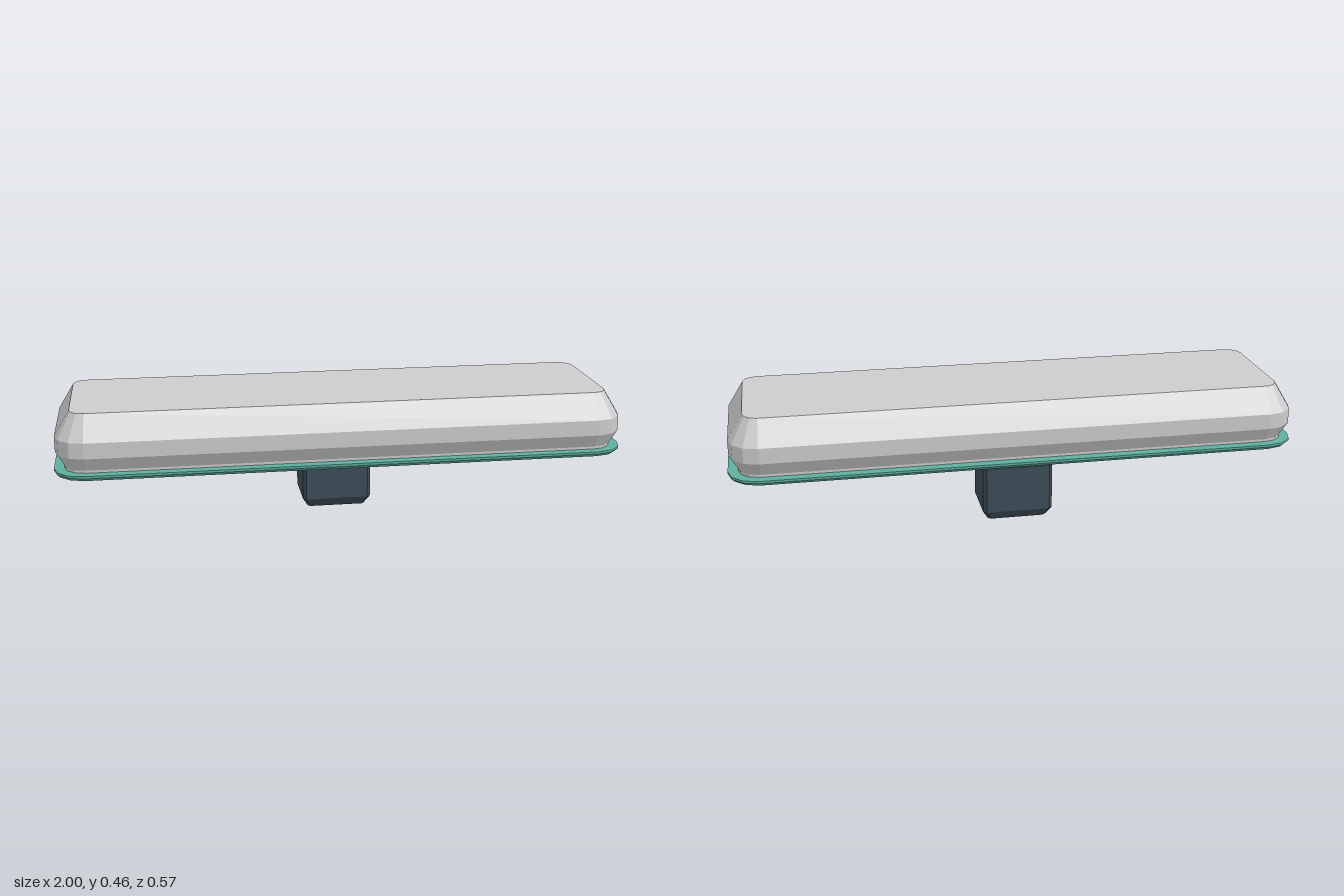
import * as THREE from 'three';

const shell = new THREE.MeshStandardMaterial({ color: 0xcccccc });
shell.name = 'light grey shell';
const teal = new THREE.MeshStandardMaterial({ color: 0x5fae9f });
teal.name = 'teal rim';
const under = new THREE.MeshStandardMaterial({ color: 0x59606c });
under.name = 'slate underside';
const dark = new THREE.MeshStandardMaterial({ color: 0x3d4c57 });
dark.name = 'dark stem';

// Rounded rectangle outline, running from +x towards +z
function outline(hx, hz, r, n) {
  const pts = [];
  const corners = [[1, 1], [-1, 1], [-1, -1], [1, -1]];
  corners.forEach(([sx, sz], q) => {
    for (let i = 0; i <= n; i++) {
      const a = (q + i / n) * Math.PI / 2;
      pts.push([sx * (hx - r) + r * Math.cos(a), sz * (hz - r) + r * Math.sin(a)]);
    }
  });
  return pts;
}

// Faceted loft through rings [y, halfX, halfZ, radius], bottom to top.
// Group 0 holds walls and top, group 1 the bottom cap.
function loft(rings, n) {
  const pos = [];
  const loops = rings.map(([y, hx, hz, r]) => outline(hx, hz, r, n).map(([x, z]) => [x, y, z]));
  const m = loops[0].length;
  const tri = (a, b, c) => pos.push(...a, ...b, ...c);
  for (let k = 0; k < loops.length - 1; k++) {
    for (let i = 0; i < m; i++) {
      const j = (i + 1) % m, lo = loops[k], hi = loops[k + 1];
      tri(lo[i], hi[i], hi[j]);
      tri(lo[i], hi[j], lo[j]);
    }
  }
  const top = loops[loops.length - 1], bottom = loops[0];
  for (let i = 1; i < m - 1; i++) tri(top[0], top[i + 1], top[i]);
  const wallCount = pos.length / 3;
  for (let i = 1; i < m - 1; i++) tri(bottom[0], bottom[i], bottom[i + 1]);
  const geo = new THREE.BufferGeometry();
  geo.setAttribute('position', new THREE.Float32BufferAttribute(pos, 3));
  geo.addGroup(0, wallCount, 0);
  geo.addGroup(wallCount, pos.length / 3 - wallCount, 1);
  geo.computeVertexNormals();
  return geo;
}

export function createModel() {
  const group = new THREE.Group();
  const add = (name, geo, mats) => {
    const mesh = new THREE.Mesh(geo, mats);
    mesh.name = name;
    group.add(mesh);
    return mesh;
  };

  // Bevelled housing: each ring is inset evenly from the widest outline
  const housing = [[0.25, 0.028], [0.268, 0.028], [0.317, 0], [0.372, 0], [0.46, 0.054]]
    .map(([y, d]) => [y, 0.993 - d, 0.278 - d, 0.1 - d * 0.9]);
  add('housing', loft(housing, 3), [shell, shell]);

  // Thin base plate with a chamfered lower edge and slate underside
  const plate = [[0.24, 0.99, 0.275, 0.1], [0.251, 1, 0.285, 0.105], [0.259, 1, 0.285, 0.105]];
  add('basePlate', loft(plate, 3), [teal, under]);

  // Mounting stem, set towards the back and flared into the plate
  const stem = [
    [0, 0.105, 0.075, 0.01],
    [0.035, 0.125, 0.099, 0.012],
    [0.197, 0.125, 0.099, 0.012],
    [0.241, 0.146, 0.118, 0.014],
  ];
  add('stem', loft(stem, 1), [dark, dark]).position.z = -0.089;

  return group;
}
